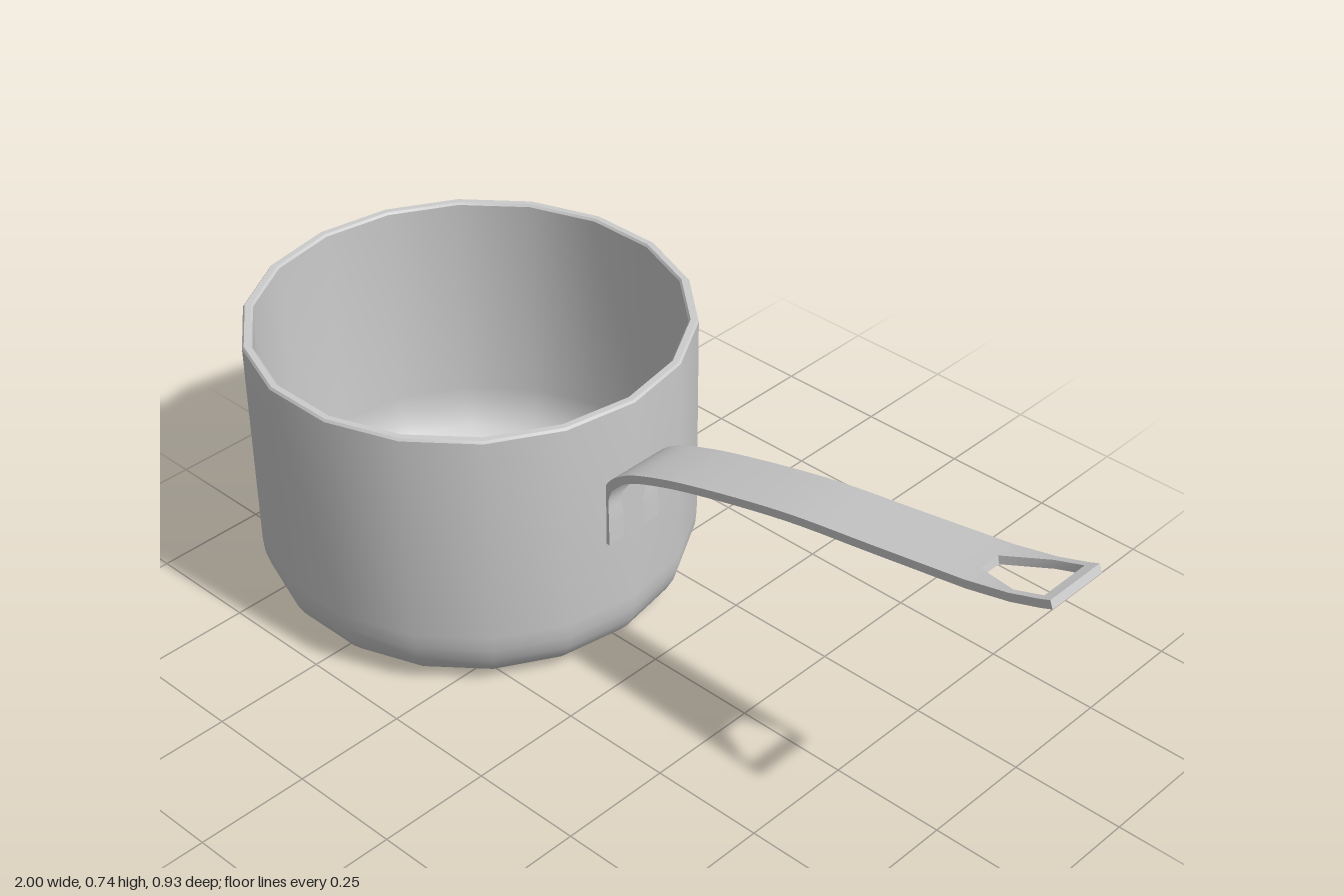
import * as THREE from 'three';
import { toCreasedNormals } from 'three/addons/utils/BufferGeometryUtils.js';

const material = new THREE.MeshStandardMaterial({ color: 0xcccccc });

// Hollow pot: closed profile turned in 18 sides, with a rounded foot
function potGeometry() {
  const profile = [new THREE.Vector2(0, 0)];
  const corner = (cx, cy, rx, ry, outward) => {
    for (let i = 0; i <= 6; i++) {
      const a = (outward ? i : 6 - i) / 6 * Math.PI / 2;
      profile.push(new THREE.Vector2(cx + rx * Math.sin(a), cy - ry * Math.cos(a)));
    }
  };
  corner(0.37, 0.14, 0.102, 0.14, true);
  for (const [r, y] of [[0.472, 0.62], [0.468, 0.625], [0.455, 0.625], [0.451, 0.62]]) {
    profile.push(new THREE.Vector2(r, y));
  }
  corner(0.36, 0.14, 0.091, 0.12, false);
  profile.push(new THREE.Vector2(0, 0.02));
  return toCreasedNormals(new THREE.LatheGeometry(profile, 18, Math.PI / 2), 0.6);
}

// Bent flat strip with a tapered hanging hole near its tip
function handleGeometry() {
  const halfWidth = 0.071, halfThick = 0.009, holeStart = 0.815, holeEnd = 0.975;
  const curve = new THREE.CatmullRomCurve3([
    [-0.07, 0.305], [-0.07, 0.365], [-0.07, 0.42], [-0.054, 0.457], [-0.01, 0.493],
    [0.08, 0.53], [0.2, 0.565], [0.4, 0.612], [0.6, 0.644], [holeStart, 0.678],
  ].map(([x, y]) => new THREE.Vector3(x, y, 0)));
  const path = curve.getPoints(45);
  for (const [x, y] of [[0.91, 0.7], [holeEnd, 0.722], [0.997, 0.731]]) {
    path.push(new THREE.Vector3(x, y, 0));
  }
  const last = path.length - 1, first = last - 3, end = last - 1;

  // Each station holds four columns across, on the lower and upper face
  const stations = path.map((p, i) => {
    const t = path[Math.min(i + 1, last)].clone().sub(path[Math.max(i - 1, 0)]).normalize();
    const hole = i > first ? 0.058 : 0.025;
    return [-halfWidth, -hole, hole, halfWidth].map(z => [-halfThick, halfThick].map(
      h => [p.x - t.y * h, p.y + t.x * h, z]));
  });

  const positions = [];
  const quad = (a, b, c, d) => positions.push(...a, ...b, ...c, ...a, ...c, ...d);
  const wall = (i, col, facesLeft) => {
    const [a, b] = stations[i][col], [d, c] = stations[i + 1][col];
    facesLeft ? quad(a, d, c, b) : quad(a, b, c, d);
  };
  const cap = (i, col, forward) => {
    const [a, b] = stations[i][col], [d, c] = stations[i][col + 1];
    forward ? quad(a, b, c, d) : quad(a, d, c, b);
  };

  for (let i = 0; i < last; i++) {
    const open = i >= first && i < end;
    for (let col = 0; col < 3; col++) {
      if (open && col === 1) continue;
      const a = stations[i][col], b = stations[i][col + 1];
      const c = stations[i + 1][col + 1], d = stations[i + 1][col];
      quad(a[1], b[1], c[1], d[1]);
      quad(a[0], d[0], c[0], b[0]);
    }
    wall(i, 0, false);
    wall(i, 3, true);
    if (open) {
      wall(i, 1, true);
      wall(i, 2, false);
    }
  }
  for (let col = 0; col < 3; col++) {
    cap(0, col, false);
    cap(last, col, true);
  }
  cap(first, 1, true);
  cap(end, 1, false);

  const geometry = new THREE.BufferGeometry();
  geometry.setAttribute('position', new THREE.Float32BufferAttribute(positions, 3));
  return toCreasedNormals(geometry, 0.6);
}

export function createModel() {
  const group = new THREE.Group();
  group.name = 'saucepan';

  const pot = new THREE.Mesh(potGeometry(), material);
  pot.name = 'pot';
  pot.position.x = -0.528;
  group.add(pot);

  const handle = new THREE.Mesh(handleGeometry(), material);
  handle.name = 'handle';
  group.add(handle);
  return group;
}
